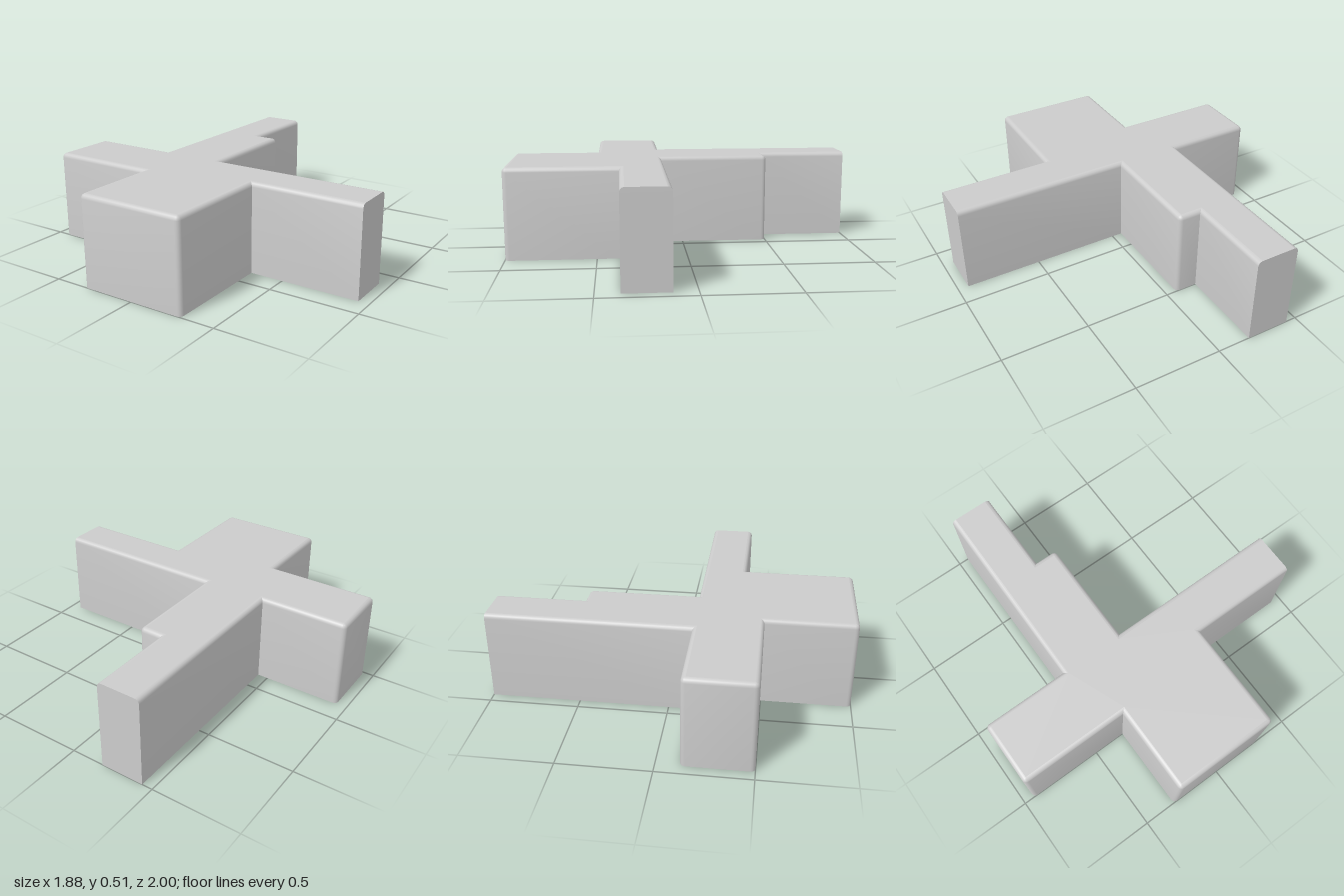
import * as THREE from 'three';
import { toCreasedNormals } from 'three/addons/utils/BufferGeometryUtils.js';

const H = 0.51, ROOF = 0.125, R = 0.025, STEPS = 4;

// Plan of the outer walls as [x, z], clockwise seen from above
const OUTER = [
  [-0.44, -1], [-0.19, -1], [-0.19, -0.5], [-0.06, -0.5], [-0.06, 0.125],
  [0.94, 0.125], [0.94, 0.375], [0.31, 0.375], [0.31, 1], [-0.31, 1],
  [-0.31, 0.5], [-0.94, 0.5], [-0.94, 0.125], [-0.44, 0.125],
];
// Edges of the plan that are cut off flat, with no rounding
const FLAT = [0, 5];

// Plan of the hollow, open underneath
const INNER = [
  [-0.31, -0.375], [-0.19, -0.375], [-0.19, 0.25], [0.19, 0.25], [0.19, 0.875],
  [-0.19, 0.875], [-0.19, 0.495], [-0.305, 0.495], [-0.305, 0.375],
  [-0.81, 0.375], [-0.81, 0.25], [-0.31, 0.25],
];

// Horizontal outline with rounded outer corners; phi runs 0 (wall) to 90 degrees (top)
function outline(phi) {
  const n = OUTER.length;
  const c = Math.cos(phi);
  const normal = (i) => {
    const [x0, z0] = OUTER[i], [x1, z1] = OUTER[(i + 1) % n];
    const length = Math.hypot(x1 - x0, z1 - z0);
    return [(z1 - z0) / length, (x0 - x1) / length];
  };
  return OUTER.flatMap(([x, z], i) => {
    const prev = (i + n - 1) % n;
    const a = normal(prev), b = normal(i);
    const ra = FLAT.includes(prev) ? 0 : R;
    const rb = FLAT.includes(i) ? 0 : R;
    const round = ra && rb && a[0] * b[1] - a[1] * b[0] > 0;
    const points = [];
    for (let k = 0; k <= (round ? STEPS : 0); k++) {
      const t = (k / STEPS) * Math.PI / 2;
      const fa = ra * ((round ? Math.cos(t) : 1) * c - 1);
      const fb = rb * ((round ? Math.sin(t) : 1) * c - 1);
      points.push([x + a[0] * fa + b[0] * fb, z + a[1] * fa + b[1] * fb]);
    }
    return points;
  });
}

// Skin over stacked rings {y, points}; inward turns the faces round
function skin(rings, inward = false) {
  const positions = [];
  for (let j = 0; j < rings.length - 1; j++) {
    const lo = rings[j], hi = rings[j + 1], n = lo.points.length;
    for (let i = 0; i < n; i++) {
      const at = (ring, k) => [ring.points[k % n][0], ring.y, ring.points[k % n][1]];
      const a = at(lo, i), b = at(lo, i + 1), c = at(hi, i + 1), d = at(hi, i);
      const corners = inward ? [a, b, c, a, c, d] : [a, d, c, a, c, b];
      positions.push(...corners.flat());
    }
  }
  const geometry = new THREE.BufferGeometry();
  geometry.setAttribute('position', new THREE.Float32BufferAttribute(positions, 3));
  return toCreasedNormals(geometry, 0.6);
}

// Flat horizontal face, facing up or down
function slab(points, y, up, hole) {
  const s = up ? -1 : 1;
  const flat = (list) => list.map(([x, z]) => new THREE.Vector2(x, s * z));
  const shape = new THREE.Shape(flat(points));
  if (hole) shape.holes.push(new THREE.Path(flat(hole)));
  return new THREE.ShapeGeometry(shape).rotateX(s * Math.PI / 2).translate(0, y, 0);
}

export function createModel() {
  const group = new THREE.Group();
  group.name = 'crossShapedBlock';
  const material = new THREE.MeshStandardMaterial({ color: 0xcccccc });
  const add = (name, geometry) => {
    const mesh = new THREE.Mesh(geometry, material);
    mesh.name = name;
    group.add(mesh);
  };

  // Outer walls with a rounded upper edge
  const rings = [{ y: 0, points: outline(0) }];
  for (let k = 0; k <= STEPS; k++) {
    const phi = (k / STEPS) * Math.PI / 2;
    rings.push({ y: H - R + R * Math.sin(phi), points: outline(phi) });
  }
  add('outerWalls', skin(rings));

  // Flat top: the corners collapse to single points on the last ring
  const top = rings[rings.length - 1].points.filter(([x, z], i, all) => {
    const [px, pz] = all[(i + all.length - 1) % all.length];
    return Math.hypot(x - px, z - pz) > 1e-6;
  });
  add('top', slab(top, H, true));

  // Underside rim, hollow walls and ceiling
  add('bottomRim', slab(rings[0].points, 0, false, INNER));
  add('innerWalls', skin([{ y: 0, points: INNER }, { y: H - ROOF, points: INNER }], true));
  add('ceiling', slab(INNER, H - ROOF, false));

  return group;
}
